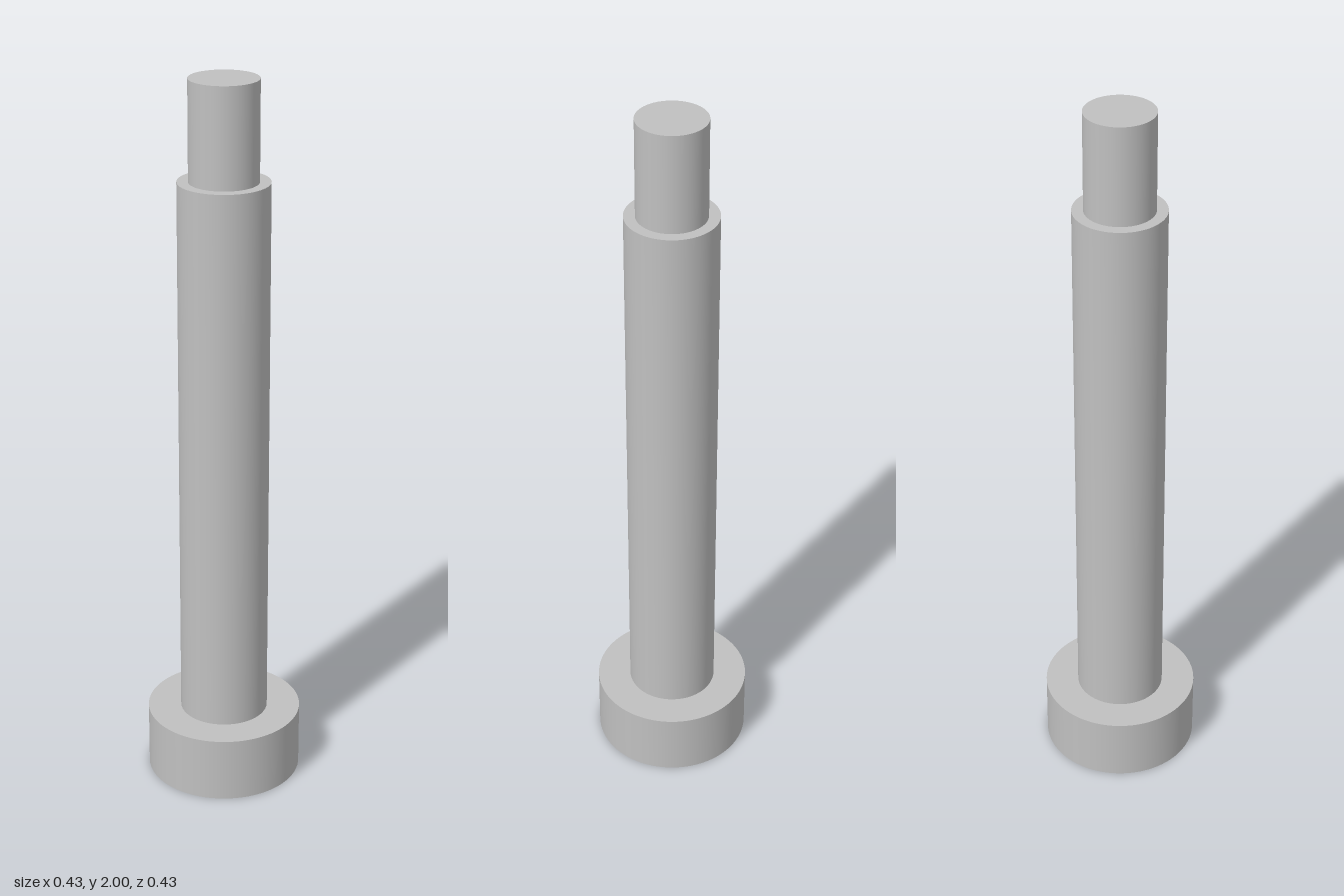
import * as THREE from 'three';

const SEG = 96;

export function createModel() {
  const group = new THREE.Group();
  const steel = new THREE.MeshStandardMaterial({ color: 0xc0c0c0 });
  steel.name = 'steel grey';

  const add = (name, geometry, y = 0) => {
    const mesh = new THREE.Mesh(geometry, steel);
    mesh.name = name;
    mesh.position.y = y;
    group.add(mesh);
    return mesh;
  };

  const headR = 0.216, headTop = 0.185;
  const shoulderR = 0.123, shoulderTop = 1.73;
  const tipR = 0.093, top = 2;
  const socketR = 0.07, socketDepth = 0.1;

  // Upright sides, one smooth wall per diameter
  const wall = (name, r, y0, y1) =>
    add(name, new THREE.CylinderGeometry(r, r, y1 - y0, SEG, 1, true), (y0 + y1) / 2);
  wall('headSide', headR, 0, headTop);
  wall('shoulderSide', shoulderR, headTop, shoulderTop);
  wall('tipSide', tipR, shoulderTop, top);

  // Upward-facing steps and the end of the tip
  const up = (geometry) => geometry.rotateX(-Math.PI / 2);
  add('headTop', up(new THREE.RingGeometry(shoulderR, headR, SEG)), headTop);
  add('shoulderStep', up(new THREE.RingGeometry(tipR, shoulderR, SEG)), shoulderTop);
  add('tipEnd', up(new THREE.CircleGeometry(tipR, SEG)), top);

  // Underside of the head with a hexagonal opening
  const hexPoints = Array.from({ length: 6 }, (_, i) => {
    const a = i * Math.PI / 3;
    return new THREE.Vector2(Math.sin(a) * socketR, Math.cos(a) * socketR);
  });
  const face = new THREE.Shape().absarc(0, 0, headR, 0, Math.PI * 2);
  face.holes.push(new THREE.Path(hexPoints));
  add('headUnderside', new THREE.ShapeGeometry(face, SEG / 2).rotateX(Math.PI / 2));

  // Hex socket walls, turned inward, and its floor
  const socket = new THREE.CylinderGeometry(socketR, socketR, socketDepth, 6, 1, true)
    .scale(-1, 1, 1).toNonIndexed();
  // Mirroring reverses the winding so the walls face inward
  socket.computeVertexNormals();
  add('socketWalls', socket, socketDepth / 2);
  add('socketFloor', new THREE.ShapeGeometry(new THREE.Shape(hexPoints)).rotateX(Math.PI / 2), socketDepth);

  return group;
}
